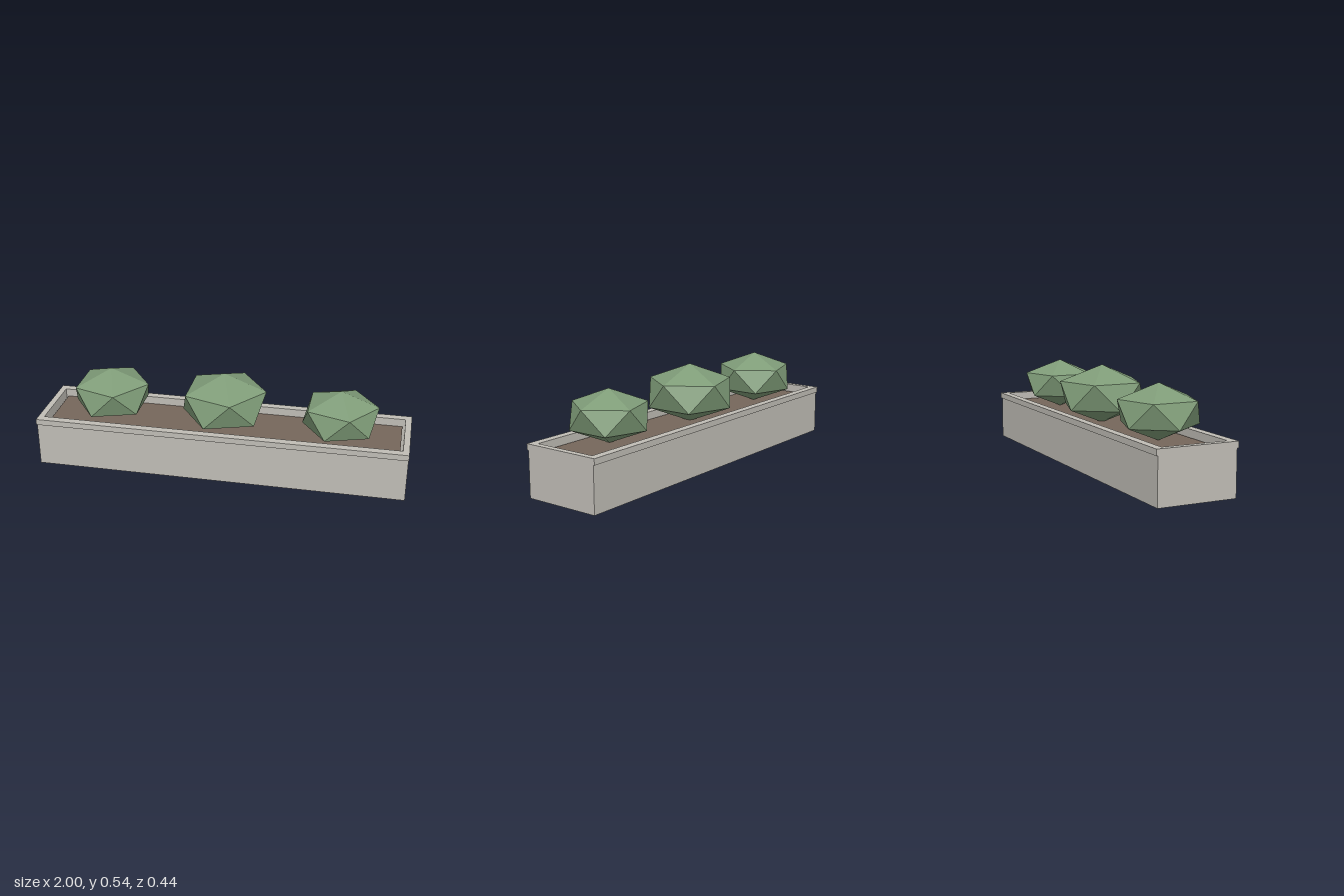
import * as THREE from 'three';

const stone = new THREE.MeshStandardMaterial({ color: 0xc0bdb6 });
stone.name = 'pale stone';
const earth = new THREE.MeshStandardMaterial({ color: 0x75665b });
earth.name = 'brown soil';
const leaf = new THREE.MeshStandardMaterial({ color: 0x7f9c78, flatShading: true });
leaf.name = 'leaf green';

// Open rectangular frame with vertical walls, given as half sizes
function frame(name, hx, hz, innerX, innerZ, y0, y1) {
  const rect = (Type, x, z) => new Type([
    new THREE.Vector2(-x, -z), new THREE.Vector2(x, -z),
    new THREE.Vector2(x, z), new THREE.Vector2(-x, z),
  ]);
  const shape = rect(THREE.Shape, hx, hz);
  shape.holes.push(rect(THREE.Path, innerX, innerZ));
  const geo = new THREE.ExtrudeGeometry(shape, { depth: y1 - y0, bevelEnabled: false });
  geo.rotateX(-Math.PI / 2).translate(0, y0, 0);
  const mesh = new THREE.Mesh(geo, stone);
  mesh.name = name;
  return mesh;
}

// Squashed icosahedron standing on one of its corners
function bush(name, radius, x, y, z) {
  const geo = new THREE.IcosahedronGeometry(radius, 0);
  geo.rotateZ(-Math.atan(2 / (1 + Math.sqrt(5))));
  geo.scale(1, 0.62, 1);
  geo.computeVertexNormals();
  const mesh = new THREE.Mesh(geo, leaf);
  mesh.name = name;
  mesh.position.set(x, y, z);
  return mesh;
}

export function createModel() {
  const model = new THREE.Group();
  model.name = 'planter';

  // Bottomless trough with a slightly overhanging rim
  model.add(frame('troughWalls', 0.998, 0.21, 0.967, 0.176, 0, 0.241));
  model.add(frame('rim', 1, 0.218, 0.967, 0.175, 0.241, 0.273));

  // Thin soil bed, leaving a narrow gap to the walls
  const soil = new THREE.Mesh(new THREE.BoxGeometry(1.906, 0.014, 0.34), earth);
  soil.name = 'soil';
  soil.position.y = 0.225;
  model.add(soil);

  // Three bushes
  model.add(bush('rightBush', 0.23, -0.627, 0.373, 0));
  model.add(bush('middleBush', 0.255, 0, 0.382, 0));
  model.add(bush('leftBush', 0.2236, 0.627, 0.368, 0.024));

  return model;
}
